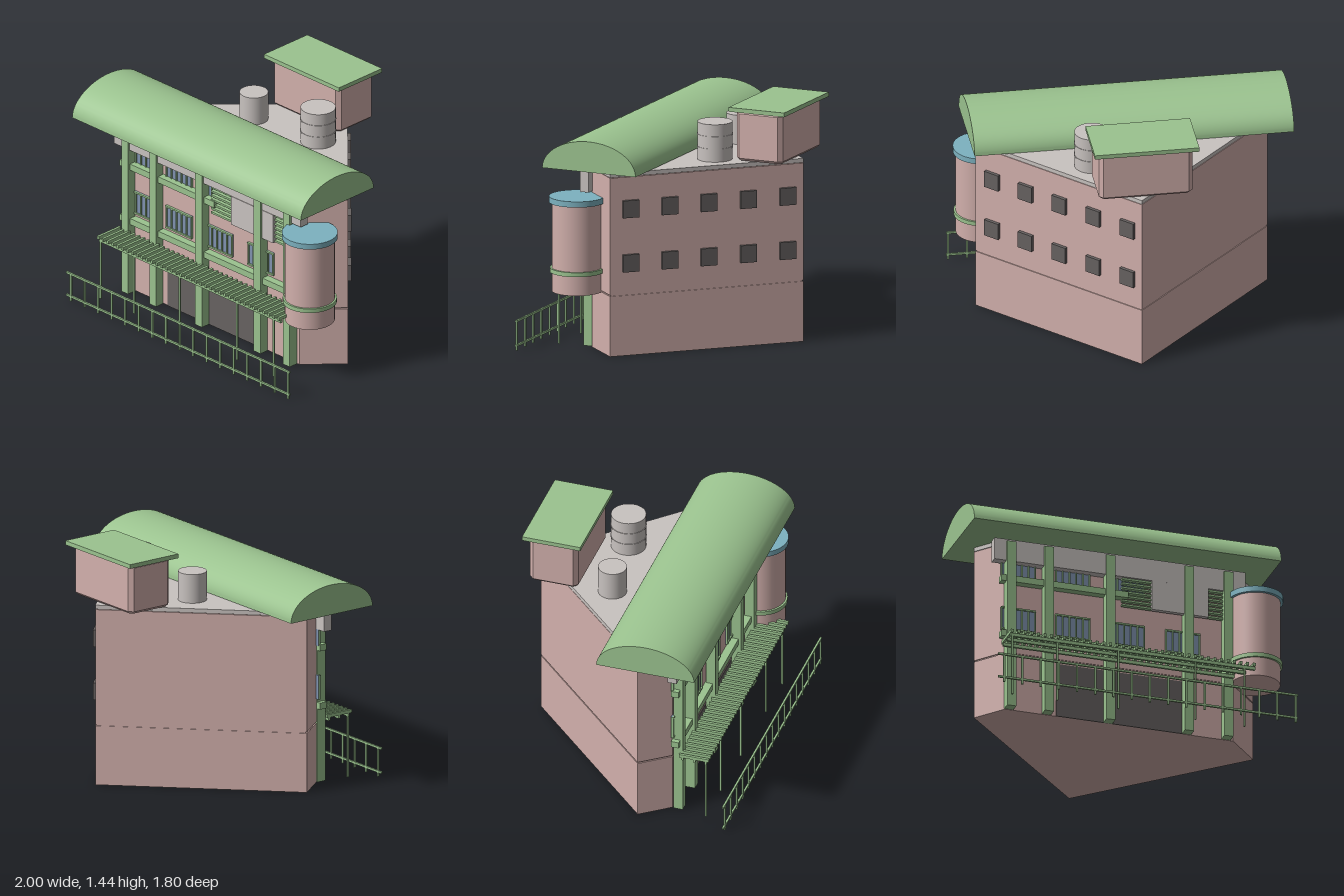
import * as THREE from 'three';
import { toCreasedNormals } from 'three/addons/utils/BufferGeometryUtils.js';

const mat = (name, color) => {
  const m = new THREE.MeshStandardMaterial({ color });
  m.name = name;
  return m;
};

export function createModel() {
  const pink = mat('pink wall', 0xd2b0ac);
  const green = mat('green trim', 0x9bc38f);
  const grey = mat('light grey', 0xc9c3c0);
  const dark = mat('dark grey', 0x676261);
  const blue = mat('window blue', 0x8093b0);
  const teal = mat('teal cap', 0x7db2c0);

  const model = new THREE.Group();
  model.name = 'building';
  // everything is laid out square to the street front, then turned
  const body = new THREE.Group();
  body.name = 'turnedBuilding';
  body.rotation.y = -Math.PI / 9;
  model.add(body);

  const add = (name, geo, material) => {
    const m = new THREE.Mesh(geo, material);
    m.name = name;
    body.add(m);
    return m;
  };
  // box given by its limits on each axis
  const box = (name, material, x0, x1, y0, y1, z0, z1) => {
    const m = add(name, new THREE.BoxGeometry(x1 - x0, y1 - y0, z1 - z0), material);
    m.position.set((x0 + x1) / 2, (y0 + y1) / 2, (z0 + z1) / 2);
    return m;
  };
  const drum = (name, material, r, y0, y1, x, z) => {
    const m = add(name, new THREE.CylinderGeometry(r, r, y1 - y0, 40), material);
    m.position.set(x, (y0 + y1) / 2, z);
    return m;
  };
  // upright prism over a plan outline of [x, z] points
  const prism = (name, material, plan, y0, y1, bevel = 0) => {
    const shape = new THREE.Shape(plan.map(([x, z]) => new THREE.Vector2(x, -z)));
    const geo = new THREE.ExtrudeGeometry(shape, {
      depth: y1 - y0 - 2 * bevel, bevelEnabled: bevel > 0, bevelSize: bevel,
      bevelThickness: bevel, bevelOffset: -bevel, bevelSegments: 1,
    });
    geo.rotateX(-Math.PI / 2);
    geo.translate(0, y0 + bevel, 0);
    return add(name, geo, material);
  };

  // main walls, with a shallow groove between the storeys
  const A = [0.96, -0.009], E = [0.1, -0.866];
  const plan = [A, E, [-0.789, 0.026], [-0.655, 0.2], [0.766, 0.2]];
  const inset = plan.map(([x, z]) => [x * 0.99, (z + 0.2) * 0.99 - 0.2]);
  prism('groundFloor', pink, plan, 0, 0.364);
  prism('wallGroove', pink, inset, 0.36, 0.376);
  prism('upperFloors', pink, plan, 0.372, 1.08);
  prism('roofSlab', grey, plan, 1.083, 1.108);

  // vaulted roof
  const arch = new THREE.Shape();
  arch.absellipse(0, 0, 0.304, 0.185, 0, Math.PI, false);
  arch.closePath();
  const vault = new THREE.ExtrudeGeometry(arch, { depth: 1.91, bevelEnabled: false, curveSegments: 32 });
  vault.rotateY(Math.PI / 2);
  vault.translate(-0.916, 1.111, 0.114);
  add('vaultedRoof', toCreasedNormals(vault, 0.6), green);

  // rooftop room with chamfered edges and a flat cap
  const c = 0.025, [x0, x1, z0, z1] = [-0.21, 0.35, -0.84, -0.54];
  prism('rooftopRoom', pink, [
    [x0 + c, z1], [x1 - c, z1], [x1, z1 - c], [x1, z0 + c],
    [x1 - c, z0], [x0 + c, z0], [x0, z0 + c], [x0, z1 - c],
  ], 1.115, 1.416, 0.016);
  box('rooftopRoomCap', green, -0.243, 0.382, 1.414, 1.44, -0.872, -0.51);

  // roof tanks
  drum('smallTank', grey, 0.085, 1.1, 1.285, -0.155, -0.338);
  drum('largeTank', grey, 0.104, 1.1, 1.335, 0.325, -0.395);
  for (const y of [1.18, 1.255]) drum('tankBand', grey, 0.107, y, y + 0.008, 0.325, -0.395);

  // round corner bay
  const bx = 0.891, bz = 0.24;
  drum('cornerBay', pink, 0.148, 0.363, 0.91, bx, bz);
  drum('cornerBayBand', green, 0.16, 0.48, 0.506, bx, bz);
  drum('cornerBayCap', teal, 0.165, 0.902, 0.937, bx, bz);

  // fascia, columns and beams of the front frame
  const columns = [-0.632, -0.398, -0.015, 0.474, 0.719];
  box('fascia', grey, -0.735, 0.825, 0.947, 1.085, 0.195, 0.25);
  for (const x of columns) box('column', green, x - 0.028, x + 0.028, 0, 1.07, 0.205, 0.264);
  box('lowerBeam', green, -0.69, 0.735, 0.455, 0.495, 0.2, 0.248);
  box('upperBeam', green, -0.69, 0.1, 0.815, 0.855, 0.2, 0.248);

  // louvred screen
  box('screenPanel', grey, 0.245, 0.596, 0.76, 0.946, 0.225, 0.252);
  for (let i = 0; i < 7; i++) {
    const y = 0.765 + i * 0.028;
    box('screenSlat', green, 0.064, 0.735, y, y + 0.012, 0.215, 0.24);
  }

  // front windows: blue pane, frame and mullions
  for (const x of [-0.572, -0.234, 0.106, 0.45]) {
    for (const y of [0.515, 0.845]) {
      const w = 0.108, h = 0.148;
      box('windowPane', blue, x - w, x + w, y, y + h, 0.196, 0.205);
      for (const yy of [y, y + h - 0.01]) box('windowRail', green, x - w, x + w, yy, yy + 0.01, 0.198, 0.215);
      for (let i = 0; i <= 5; i++) {
        const mx = x - w + 0.004 + i * (2 * w - 0.008) / 5;
        box('windowMullion', green, mx - 0.004, mx + 0.004, y, y + h, 0.198, 0.213);
      }
    }
  }

  // entrance
  box('entrance', dark, -0.335, 0.45, 0, 0.34, 0.197, 0.205);

  // side windows along the slanting wall
  for (const z of [0.205, -0.017, -0.24, -0.465, -0.69]) {
    const t = (0.32 - z) / 1.1;
    for (const y of [0.56, 0.888]) {
      const win = add('sideWindow', new THREE.BoxGeometry(0.1, 0.105, 0.04), dark);
      win.position.set(A[0] + (E[0] - A[0]) * t, y, A[1] + (E[1] - A[1]) * t);
      win.rotation.y = Math.PI * 0.75;
    }
  }

  // pergola: stringers, cross slats and thin posts
  for (const z of [0.27, 0.345, 0.415]) box('pergolaStringer', green, -0.69, 0.83, 0.375, 0.395, z - 0.007, z + 0.007);
  for (let i = 0; i < 38; i++) {
    const x = -0.685 + i * 0.0407;
    box('pergolaSlat', green, x - 0.008, x + 0.008, 0.395, 0.415, 0.25, 0.435);
  }
  for (const x of [-0.68, -0.4, -0.02, 0.46, 0.765]) box('pergolaPost', green, x - 0.005, x + 0.005, 0, 0.38, 0.41, 0.42);

  // street fence
  for (const y of [0.03, 0.178]) box('fenceRail', green, -0.817, 1.047, y - 0.006, y + 0.006, 0.558, 0.57);
  for (let i = 0; i < 17; i++) {
    const x = -0.78 + i * 0.1134;
    box('fenceBaluster', green, x - 0.006, x + 0.006, 0, 0.182, 0.559, 0.569);
  }
  return model;
}
